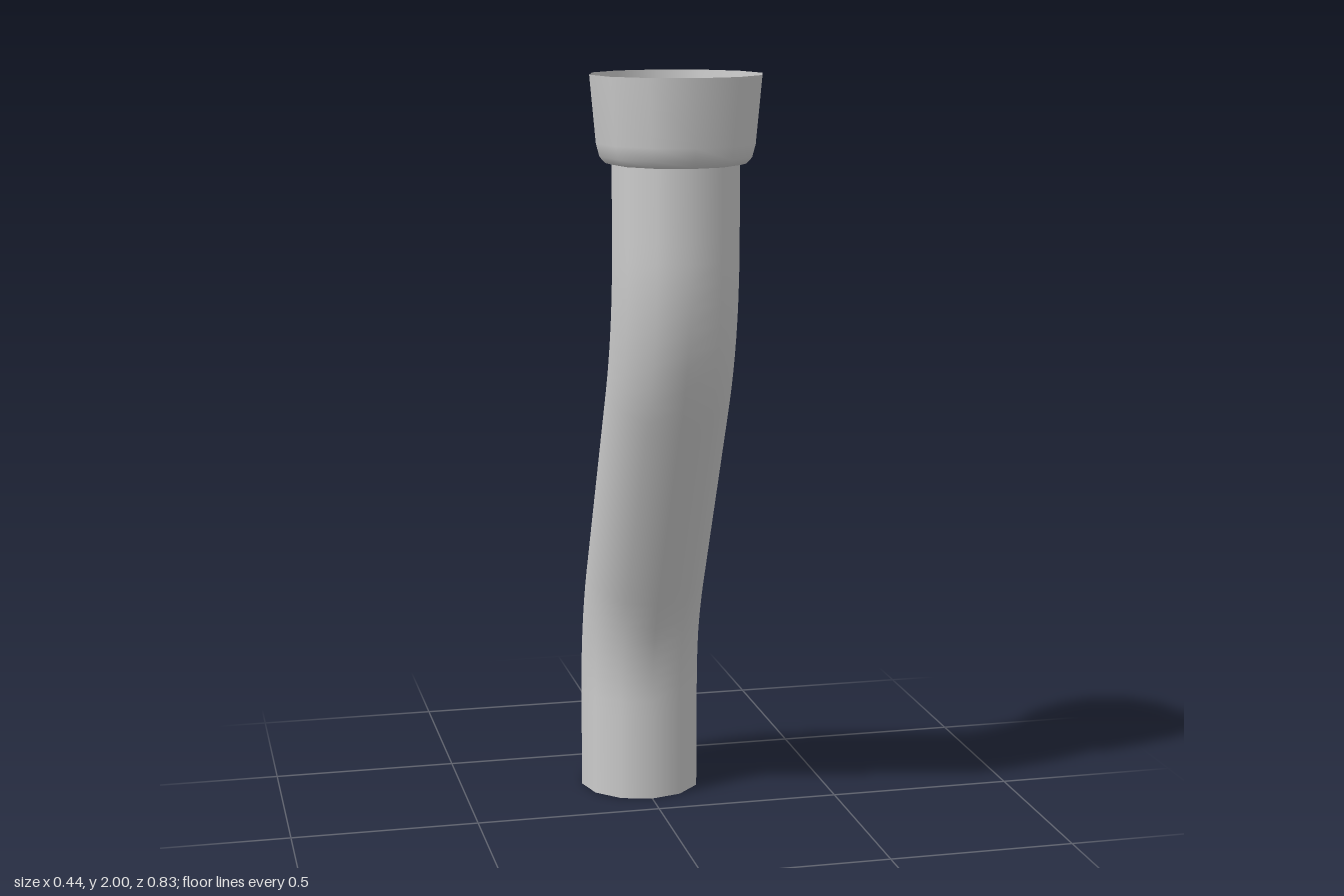
import * as THREE from 'three';

const SIDES = 12;
const PIPE_RADIUS = 0.166;
const TOP_Z = 0.193;
const BOTTOM_Z = -0.249;

// Offset centreline: two vertical runs joined by a slanted run with soft bends
function createPath() {
  const point = (y, z) => new THREE.Vector3(0, y, z);
  const lowCorner = point(0.47, BOTTOM_Z);
  const highCorner = point(1.356, TOP_Z);
  const slope = highCorner.clone().sub(lowCorner).normalize();
  const bend = 0.2;
  const lowStart = point(0.47 - bend, BOTTOM_Z);
  const lowEnd = lowCorner.clone().addScaledVector(slope, bend);
  const highStart = highCorner.clone().addScaledVector(slope, -bend);
  const highEnd = point(1.356 + bend, TOP_Z);

  const path = new THREE.CurvePath();
  path.add(new THREE.LineCurve3(point(0, BOTTOM_Z), lowStart));
  path.add(new THREE.QuadraticBezierCurve3(lowStart, lowCorner, lowEnd));
  path.add(new THREE.LineCurve3(lowEnd, highStart));
  path.add(new THREE.QuadraticBezierCurve3(highStart, highCorner, highEnd));
  path.add(new THREE.LineCurve3(highEnd, point(1.777, TOP_Z)));
  return path;
}

export function createModel() {
  const group = new THREE.Group();
  group.name = 'offsetDrainPipe';
  const material = new THREE.MeshStandardMaterial({ color: 0xcccccc, side: THREE.DoubleSide });

  // Open S-bend pipe
  const pipe = new THREE.Mesh(
    new THREE.TubeGeometry(createPath(), 40, PIPE_RADIUS, SIDES, false), material);
  pipe.name = 'pipe';
  group.add(pipe);

  // Flared socket with a rounded lower lip, open at the top
  const profile = [
    [PIPE_RADIUS, 1.777], [0.182, 1.781], [0.197, 1.797], [0.206, 1.83], [0.222, 2],
  ].map(([r, y]) => new THREE.Vector2(r, y));
  const socket = new THREE.Mesh(new THREE.LatheGeometry(profile, SIDES), material);
  socket.name = 'socket';
  socket.position.z = TOP_Z;
  group.add(socket);

  return group;
}
